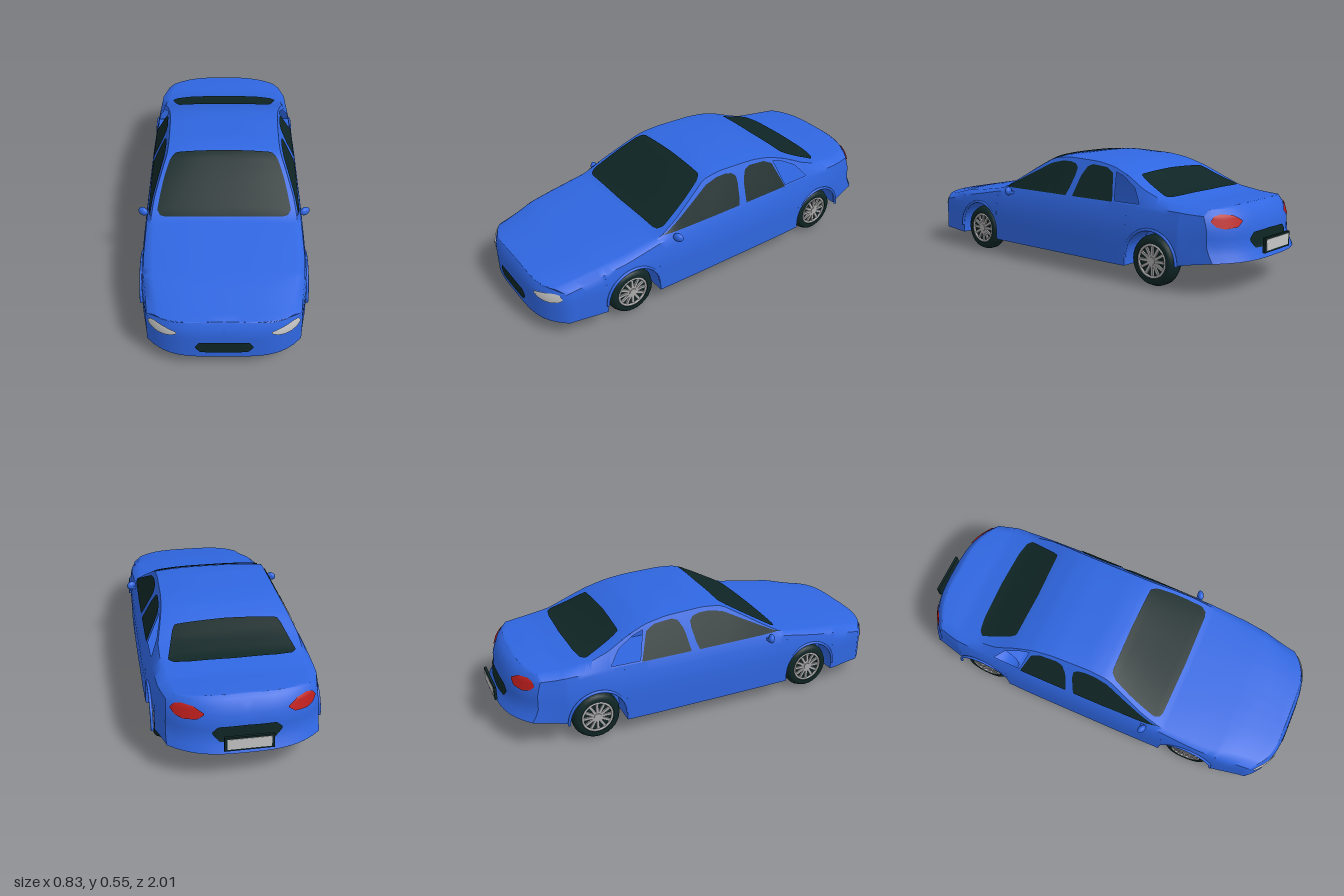
import * as THREE from 'three';
import { toCreasedNormals } from 'three/addons/utils/BufferGeometryUtils.js';

const mat = (name, color) => new THREE.MeshStandardMaterial({ name, color, side: THREE.DoubleSide });

// Linear lookup in an ascending table of [key, value...] rows
function lin(table, t, col = 1) {
  if (t <= table[0][0]) return table[0][col];
  for (let i = 1; i < table.length; i++) {
    const a = table[i - 1], b = table[i];
    if (t <= b[0]) return a[col] + (b[col] - a[col]) * (t - a[0]) / (b[0] - a[0]);
  }
  return table[table.length - 1][col];
}

// Body stations: z, crown height, rail y, rail x, belt y, belt x, side x
const STATIONS = [
  [-0.985, 0.382, 0.37, 0.295, 0.345, 0.328, 0.335],
  [-0.85, 0.385, 0.372, 0.31, 0.348, 0.345, 0.355],
  [-0.72, 0.385, 0.373, 0.32, 0.352, 0.355, 0.372],
  [-0.6, 0.406, 0.39, 0.325, 0.356, 0.36, 0.381],
  [-0.5, 0.443, 0.429, 0.326, 0.358, 0.363, 0.387],
  [-0.4, 0.492, 0.478, 0.305, 0.358, 0.365, 0.39],
  [-0.3, 0.527, 0.512, 0.288, 0.358, 0.366, 0.392],
  [-0.2, 0.542, 0.528, 0.28, 0.358, 0.366, 0.392],
  [0, 0.55, 0.536, 0.276, 0.357, 0.366, 0.392],
  [0.1, 0.54, 0.526, 0.28, 0.356, 0.366, 0.392],
  [0.2, 0.482, 0.469, 0.309, 0.352, 0.366, 0.392],
  [0.3, 0.422, 0.41, 0.336, 0.346, 0.367, 0.391],
  [0.4, 0.363, 0.353, 0.35, 0.338, 0.37, 0.39],
  [0.6, 0.337, 0.322, 0.345, 0.302, 0.372, 0.386],
  [0.8, 0.311, 0.296, 0.328, 0.272, 0.358, 0.37],
  [1, 0.275, 0.262, 0.3, 0.242, 0.339, 0.344],
];
const FLOOR = [[-0.985, 0.148], [-0.72, 0.12], [-0.44, 0.08], [1, 0.08]];
const REAR_RAKE = [[0.15, 0], [0.2, 0.03], [0.28, 0.035], [0.34, 0.055], [0.37, 0.08], [0.385, 0.1]];
const AXLES = [0.57, -0.58], ARCH = 0.14, AXLE_Y = 0.12;
const HOLE = [-0.5, -0.32]; // open rear quarter windows

function section(z) {
  const s = [1, 2, 3, 4, 5, 6].map(c =>
    [-0.02, -0.01, 0, 0.01, 0.02].reduce((a, d) => a + lin(STATIONS, z + d, c) / 5, 0));
  return { h: s[0], yc: s[1], xc: s[2], ys: s[3], xs: s[4], w: s[5] };
}
const topY = (z, x) => {
  const s = section(z);
  return s.yc + (s.h - s.yc) * (1 - Math.min(1, Math.abs(x) / s.xc) ** 3);
};
const cabinX = (z, y) => {
  const s = section(z);
  return s.xs + (s.xc - s.xs) * (y - s.ys) / (s.yc - s.ys);
};
// Rounds nose and tail in plan and rakes them in profile
function warp(s, x, y) {
  if (s > 0.72) return s - (s - 0.72) / 0.28 * (0.1 * (x / 0.34) ** 4 + 4 * Math.max(0, y - 0.2) ** 2);
  if (s < -0.72) return s + (-0.72 - s) / 0.265 * (0.1 * Math.abs(x / 0.33) ** 3 + lin(REAR_RAKE, y));
  return s;
}

// Half outline of the body at one station, floor centre to roof centre
const SIDE_STEPS = 6, STRIP = 3 + SIDE_STEPS;
function halfRing(z) {
  const s = section(z), yb = lin(FLOOR, z);
  let ya = yb;
  for (const c of AXLES) {
    const d = Math.abs(z - c);
    if (d <= ARCH + 1e-6) ya = Math.max(yb, AXLE_Y + Math.sqrt(Math.max(0, ARCH * ARCH - d * d)));
  }
  const pts = [[0, yb], [0.27, yb], [0.27, ya]];
  for (let i = 0; i <= SIDE_STEPS; i++) {
    const y = ya + (s.ys - ya) * i / SIDE_STEPS;
    const k = Math.max(0, (y - 0.2) / (s.ys - 0.2));
    pts.push([s.w - (s.w - s.xs) * k * k, y]);
  }
  for (const f of [1, 0.95, 0.85, 0.7, 0.5, 0.25, 0]) pts.push([s.xc * f, s.yc + (s.h - s.yc) * (1 - f ** 3)]);
  return pts;
}

function bodyGeometry() {
  const pos = [];
  const quad = (a, b, c, d) => { // both halves, mirrored
    pos.push(...a, ...b, ...c, ...a, ...c, ...d);
    const [e, f, g, h] = [a, b, c, d].map(p => [-p[0], p[1], p[2]]);
    pos.push(...e, ...g, ...f, ...e, ...h, ...g);
  };
  const zs = [-0.985, 1, ...HOLE];
  for (let z = -0.96; z < 0.99; z += 0.03) zs.push(z);
  for (const c of AXLES) {
    zs.push(c - ARCH - 1e-4, c + ARCH + 1e-4);
    for (let i = 0; i <= 16; i++) zs.push(c + ARCH * Math.cos(Math.PI * i / 16));
  }
  zs.sort((a, b) => a - b);
  const rings = zs.map(z => halfRing(z).map(([x, y]) => [x, y, warp(z, x, y)]));
  for (let j = 0; j + 1 < zs.length; j++) {
    const mid = (zs[j] + zs[j + 1]) / 2;
    for (let i = 0; i + 1 < rings[j].length; i++) {
      if (i === STRIP && mid > HOLE[0] && mid < HOLE[1]) continue;
      quad(rings[j][i], rings[j][i + 1], rings[j + 1][i + 1], rings[j + 1][i]);
    }
  }
  // nose and tail faces
  for (const [z, flip] of [[zs[0], false], [1, true]]) {
    const ring = halfRing(z), n = 10;
    const at = (i, k) => { const x = ring[i][0] * k / n, y = ring[i][1]; return [x, y, warp(z, x, y)]; };
    for (let i = 2; i + 1 < ring.length; i++) for (let k = 0; k < n; k++) {
      const q = [at(i, k), at(i + 1, k), at(i + 1, k + 1), at(i, k + 1)];
      quad(...(flip ? q.reverse() : q));
    }
  }
  const g = new THREE.BufferGeometry();
  g.setAttribute('position', new THREE.Float32BufferAttribute(pos, 3));
  return toCreasedNormals(g, 0.65);
}

// Thin skin between two edge curves lo(u) and hi(u), laid on the surface by place(u, v)
function patch(lo, hi, place, nu = 28, nv = 8) {
  const pos = [], idx = [], u0 = lo[0][0], u1 = lo[lo.length - 1][0];
  for (let i = 0; i <= nu; i++) for (let j = 0; j <= nv; j++) {
    const u = u0 + (u1 - u0) * i / nu, a = lin(lo, u), b = lin(hi, u);
    pos.push(...place(u, a + (b - a) * j / nv));
    if (i < nu && j < nv) {
      const p = i * (nv + 1) + j, q = p + nv + 1;
      idx.push(p, q, q + 1, p, q + 1, p + 1);
    }
  }
  const g = new THREE.BufferGeometry();
  g.setAttribute('position', new THREE.Float32BufferAttribute(pos, 3));
  g.setIndex(idx);
  g.computeVertexNormals();
  return g;
}
const mirrored = t => [...t.map(([u, v]) => [-u, v]).reverse(), ...t];

export function createModel() {
  const car = new THREE.Group();
  car.name = 'car';
  const paint = mat('bluePaint', 0x2f66e0), dark = mat('darkGlassAndRubber', 0x0f2525);
  const lamp = mat('headlightGrey', 0xc6c6c6), red = mat('tailRed', 0xbc1e1c), alloy = mat('alloyGrey', 0xa9a9ab);
  const add = (parent, name, geo, m, x = 0, y = 0, z = 0) => {
    const mesh = new THREE.Mesh(geo, m);
    mesh.name = name;
    mesh.position.set(x, y, z);
    parent.add(mesh);
    return mesh;
  };
  add(car, 'body', bodyGeometry(), paint);

  // Windscreen and rear window
  const onTop = (x, z) => [x, topY(z, x) + 0.006, z];
  add(car, 'windscreen', patch(
    mirrored([[0.001, 0.095], [0.235, 0.1], [0.262, 0.125], [0.29, 0.21], [0.31, 0.3], [0.318, 0.35]]),
    mirrored([[0.001, 0.4], [0.28, 0.395], [0.31, 0.385], [0.318, 0.365]]), onTop, 48, 14), dark);
  add(car, 'rearWindow', patch(
    mirrored([[0.001, -0.638], [0.2, -0.632], [0.27, -0.62], [0.29, -0.6]]),
    mirrored([[0.001, -0.412], [0.24, -0.42], [0.255, -0.45], [0.29, -0.59]]), onTop, 48, 12), dark);

  // Grille and rear panel
  const onNose = (x, y) => [x, y, warp(1, x, y) + 0.005];
  const onTail = (x, y) => [x, y, warp(-0.985, x, y) - 0.005];
  add(car, 'grille', patch(mirrored([[0.001, 0.113], [0.105, 0.115], [0.127, 0.142]]),
    mirrored([[0.001, 0.176], [0.11, 0.175], [0.127, 0.148]]), onNose), dark);
  add(car, 'rearPanel', patch(mirrored([[0.001, 0.19], [0.12, 0.195], [0.15, 0.23]]),
    mirrored([[0.001, 0.268], [0.125, 0.265], [0.15, 0.24]]), onTail), dark);
  add(car, 'plateFrame', new THREE.BoxGeometry(0.214, 0.068, 0.012), dark, 0, 0.207, -0.992);
  add(car, 'plate', new THREE.BoxGeometry(0.19, 0.05, 0.003), lamp, 0, 0.207, -0.9985);

  // Everything that comes in left and right pairs
  for (const side of [1, -1]) {
    const half = new THREE.Group();
    half.name = side > 0 ? 'leftSide' : 'rightSide';
    half.scale.x = side;
    car.add(half);
    const glass = (z, y) => [cabinX(z, y) + 0.005, y, z];
    const panel = (z, y) => [cabinX(z, y), y, z];
    add(half, 'frontDoorWindow', patch([[-0.078, 0.46], [-0.06, 0.362], [0.39, 0.362]],
      [[-0.078, 0.49], [-0.06, 0.509], [-0.02, 0.517], [0.03, 0.517], [0.1, 0.502], [0.37, 0.366], [0.39, 0.363]], glass, 40), dark);
    add(half, 'rearDoorWindow', patch([[-0.35, 0.362], [-0.1, 0.362]],
      [[-0.35, 0.366], [-0.305, 0.485], [-0.26, 0.507], [-0.17, 0.514], [-0.14, 0.504], [-0.115, 0.46], [-0.1, 0.37]], glass, 40), dark);
    // frame around the open quarter window
    const rim = [-0.5, -0.475, -0.45, -0.41, -0.37, -0.345, -0.32];
    add(half, 'rearPillar', patch([[-0.5, 0.368], [-0.45, 0.432], [-0.37, 0.475], [-0.32, 0.49]],
      rim.map(z => [z, section(z).yc]), panel), paint);
    add(half, 'quarterSill', patch(rim.map(z => [z, section(z).ys]),
      [[-0.5, 0.366], [-0.358, 0.366], [-0.32, 0.49]], panel), paint);

    add(half, 'headlight', patch([[0.205, 0.217], [0.23, 0.203], [0.26, 0.195], [0.29, 0.193], [0.32, 0.201], [0.333, 0.213]],
      [[0.205, 0.227], [0.25, 0.237], [0.3, 0.245], [0.322, 0.241], [0.333, 0.22]], onNose), lamp);
    add(half, 'tailLight', patch([[0.18, 0.316], [0.21, 0.295], [0.27, 0.29], [0.3, 0.3], [0.315, 0.32]],
      [[0.18, 0.322], [0.22, 0.346], [0.27, 0.352], [0.3, 0.344], [0.315, 0.326]], onTail), red);

    // Door mirror
    add(half, 'mirrorArm', new THREE.BoxGeometry(0.04, 0.014, 0.025), paint, 0.375, 0.338, 0.325);
    const shell = add(half, 'mirrorShell', new THREE.SphereGeometry(1, 16, 12), paint, 0.392, 0.346, 0.328);
    shell.scale.set(0.026, 0.022, 0.016);
    shell.rotation.y = 0.5;

    for (const z of AXLES) {
      const lip = add(half, 'archLip', new THREE.TorusGeometry(ARCH + 0.003, 0.007, 8, 28, Math.PI), paint, 0.383, AXLE_Y, z);
      lip.rotation.y = Math.PI / 2;

      const wheel = new THREE.Group();
      wheel.name = z > 0 ? 'frontWheel' : 'rearWheel';
      wheel.position.set(0.325, 0.119, z);
      half.add(wheel);
      const profile = [[0, -0.045], [0.09, -0.045], [0.106, -0.037], [0.117, -0.015], [0.117, 0.015],
        [0.108, 0.037], [0.095, 0.045], [0.08, 0.043], [0.077, 0.03], [0, 0.03]];
      const tyre = new THREE.LatheGeometry(profile.map(p => new THREE.Vector2(...p)), 28);
      add(wheel, 'tyre', toCreasedNormals(tyre.rotateZ(-Math.PI / 2), 0.7), dark);
      add(wheel, 'rimRing', new THREE.TorusGeometry(0.073, 0.006, 8, 28).rotateY(Math.PI / 2), alloy, 0.038);
      add(wheel, 'hub', new THREE.CylinderGeometry(0.018, 0.02, 0.012, 16).rotateZ(-Math.PI / 2), alloy, 0.037);
      for (let i = 0; i < 12; i++) {
        const spoke = new THREE.BoxGeometry(0.008, 0.06, 0.013).translate(0, 0.043, 0).rotateX(i * Math.PI / 6);
        add(wheel, 'spoke', spoke, alloy, 0.036);
      }
    }
  }
  return car;
}
